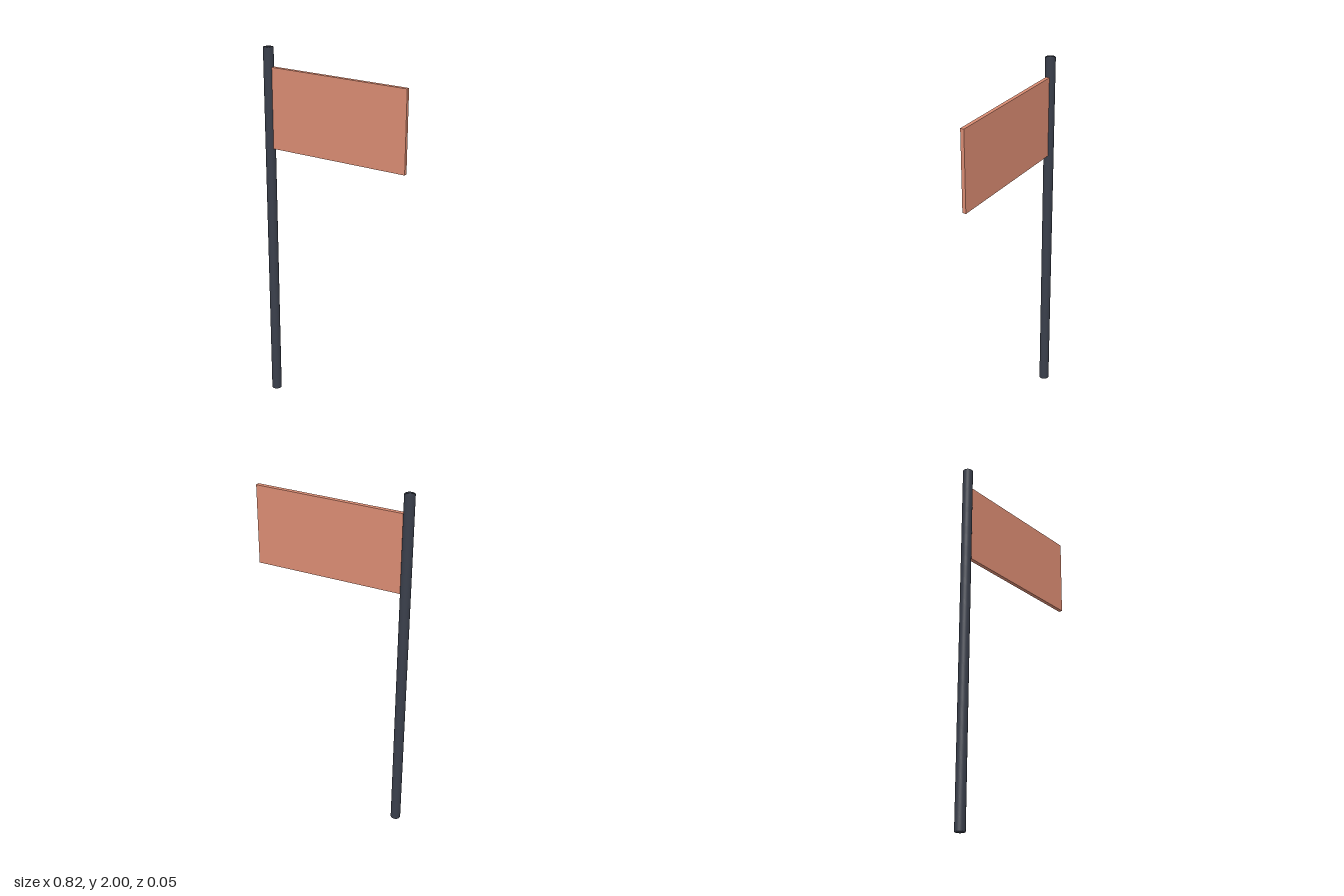
import * as THREE from 'three';
import { mergeVertices } from 'three/addons/utils/BufferGeometryUtils.js';

const POLE_X = -0.385, POLE_RADIUS = 0.027, POLE_HEIGHT = 2;
const FLAG = { left: -0.37, right: 0.412, bottom: 1.465, top: 1.9, depth: 0.02 };

// Welds caps to the wall so the shading runs smoothly over the rims.
function weldedCylinder(radius, height, sides) {
  const geometry = new THREE.CylinderGeometry(radius, radius, height, sides);
  geometry.deleteAttribute('normal');
  geometry.deleteAttribute('uv');
  const welded = mergeVertices(geometry, 1e-5);
  welded.computeVertexNormals();
  return welded;
}

export function createModel() {
  const group = new THREE.Group();
  group.name = 'flag on pole';

  // Upright pole
  const pole = new THREE.Mesh(
    weldedCylinder(POLE_RADIUS, POLE_HEIGHT, 32),
    new THREE.MeshStandardMaterial({ color: 0x3a3f4b })
  );
  pole.name = 'pole';
  pole.position.set(POLE_X, POLE_HEIGHT / 2, 0);
  group.add(pole);

  // Stiff rectangular flag, its inner edge sunk into the pole
  const flag = new THREE.Mesh(
    new THREE.BoxGeometry(FLAG.right - FLAG.left, FLAG.top - FLAG.bottom, FLAG.depth),
    new THREE.MeshStandardMaterial({ color: 0xd98b72 })
  );
  flag.name = 'flag';
  flag.position.set((FLAG.left + FLAG.right) / 2, (FLAG.bottom + FLAG.top) / 2, 0);
  group.add(flag);

  return group;
}
